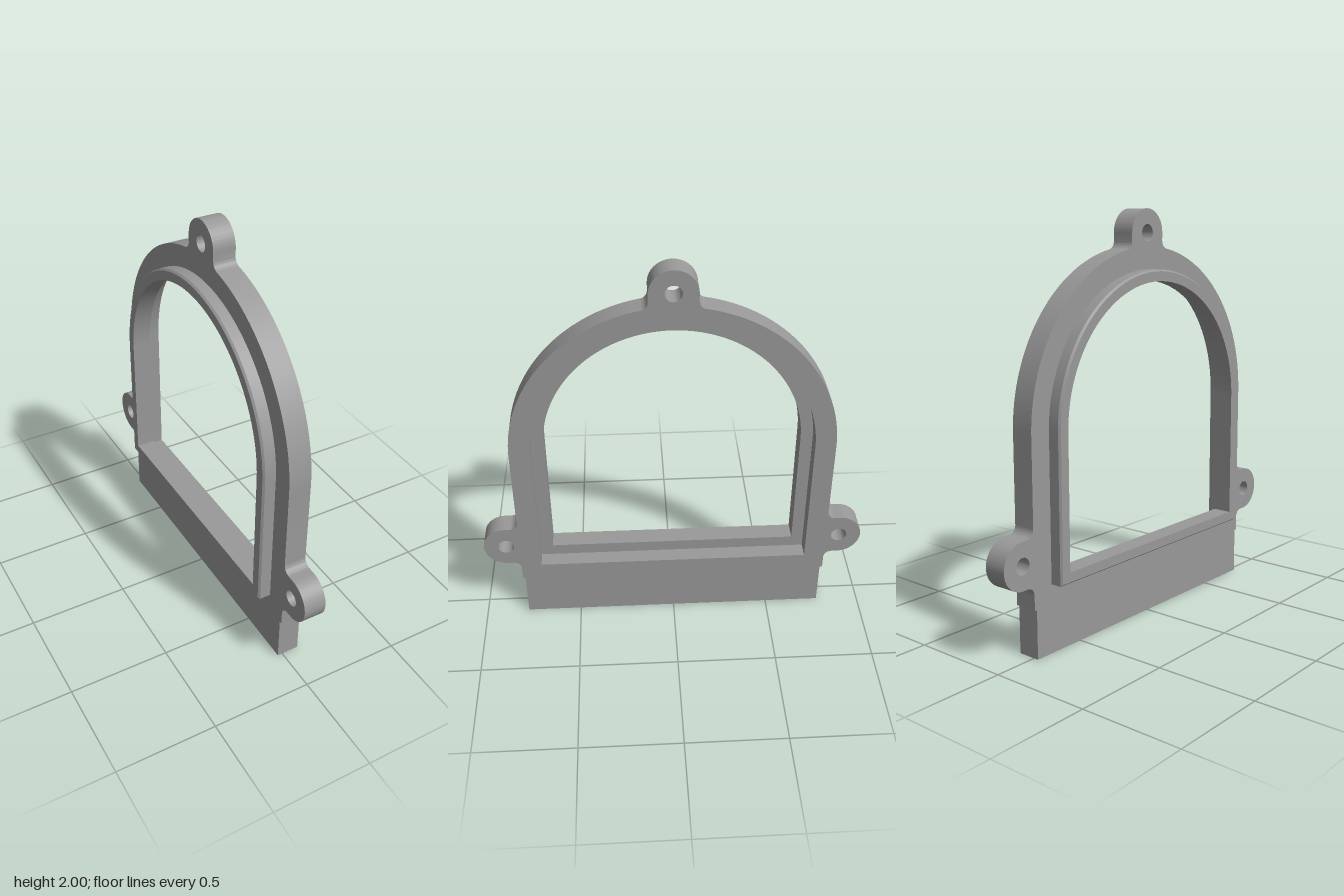
import * as THREE from 'three';
import { toCreasedNormals } from 'three/addons/utils/BufferGeometryUtils.js';

const SPRING = 1.03;              // height where the arch begins
const BACK = -0.025, FRONT = 0.088; // plate faces along x
const LUG = 0.113, HOLE = 0.04, FILLET = 0.04;
const TOP_LUG = [0, 1.887], SIDE_LUG = [0.86, 0.46];

// Arched window outline with a given half width, counter-clockwise
function archPoints(half) {
  const bottom = 1.015 - half;
  const pts = [new THREE.Vector2(-half, bottom), new THREE.Vector2(half, bottom)];
  for (let i = 0; i <= 64; i++) {
    const a = (Math.PI * i) / 64;
    pts.push(new THREE.Vector2(half * Math.cos(a), SPRING + half * Math.sin(a)));
  }
  return pts;
}

// Outer outline: one half is drawn, then mirrored
function plateOutline() {
  const w = 0.793, [sx, sy] = SIDE_LUG, fx = w + FILLET;
  const tx = LUG + FILLET, reach = w + FILLET;
  const ty = SPRING + Math.sqrt(reach * reach - tx * tx);
  const theta = Math.acos(tx / reach);
  const p = new THREE.Path();
  p.moveTo(0.78, 0);
  p.lineTo(0.78, 0.235);
  p.lineTo(w, 0.235);
  p.absarc(fx, sy - LUG - FILLET, FILLET, Math.PI, Math.PI / 2, true);
  p.absarc(sx, sy, LUG, -Math.PI / 2, Math.PI / 2, false);
  p.absarc(fx, sy + LUG + FILLET, FILLET, -Math.PI / 2, -Math.PI, true);
  p.absarc(0, SPRING, w, 0, theta, false);
  p.absarc(tx, ty, FILLET, theta + Math.PI, Math.PI, true);
  p.absarc(TOP_LUG[0], TOP_LUG[1], LUG, 0, Math.PI / 2, false);
  const half = p.getPoints(16);
  const mirrored = half.slice(0, -1).reverse().map(v => new THREE.Vector2(-v.x, v.y));
  return half.concat(mirrored);
}

// Sweep a closed [half width, depth] profile around the arched window
function sweepArch(profile) {
  const rings = profile.map(([half, z]) => archPoints(half).map(v => [v.x, v.y, z]));
  const n = rings[0].length, out = [];
  for (let k = 0; k < rings.length; k++) {
    const r = rings[k], s = rings[(k + 1) % rings.length];
    for (let i = 0; i < n; i++) {
      const j = (i + 1) % n;
      out.push(...r[i], ...s[i], ...r[j], ...s[i], ...s[j], ...r[j]);
    }
  }
  const g = new THREE.BufferGeometry();
  g.setAttribute('position', new THREE.Float32BufferAttribute(out, 3));
  return g;
}

export function createModel() {
  const group = new THREE.Group();
  group.name = 'archedFrame';
  const grey = new THREE.MeshStandardMaterial({ color: 0x999999 });
  grey.name = 'grey';

  const add = (name, geometry) => {
    geometry.rotateY(Math.PI / 2); // depth runs along +x
    const mesh = new THREE.Mesh(toCreasedNormals(geometry, 0.5), grey);
    mesh.name = name;
    group.add(mesh);
  };

  // Mounting plate with three screw lugs
  const shape = new THREE.Shape(plateOutline());
  shape.holes.push(new THREE.Path(archPoints(0.69)));
  for (const [x, y] of [TOP_LUG, SIDE_LUG, [-SIDE_LUG[0], SIDE_LUG[1]]]) {
    shape.holes.push(new THREE.Path().absarc(x, y, HOLE, 0, Math.PI * 2, false));
  }
  const plate = new THREE.ExtrudeGeometry(shape, {
    depth: FRONT - BACK, bevelEnabled: false, curveSegments: 32,
  });
  plate.translate(0, 0, BACK);
  add('mountingPlate', plate);

  // Recessed lip: ledge inside the plate, chamfered rim behind it
  add('windowLip', sweepArch([
    [0.69, BACK], [0.685, BACK], [0.685, -0.08], [0.677, -0.09],
    [0.63, -0.09], [0.63, 0.007], [0.69, 0.007],
  ]));

  return group;
}
